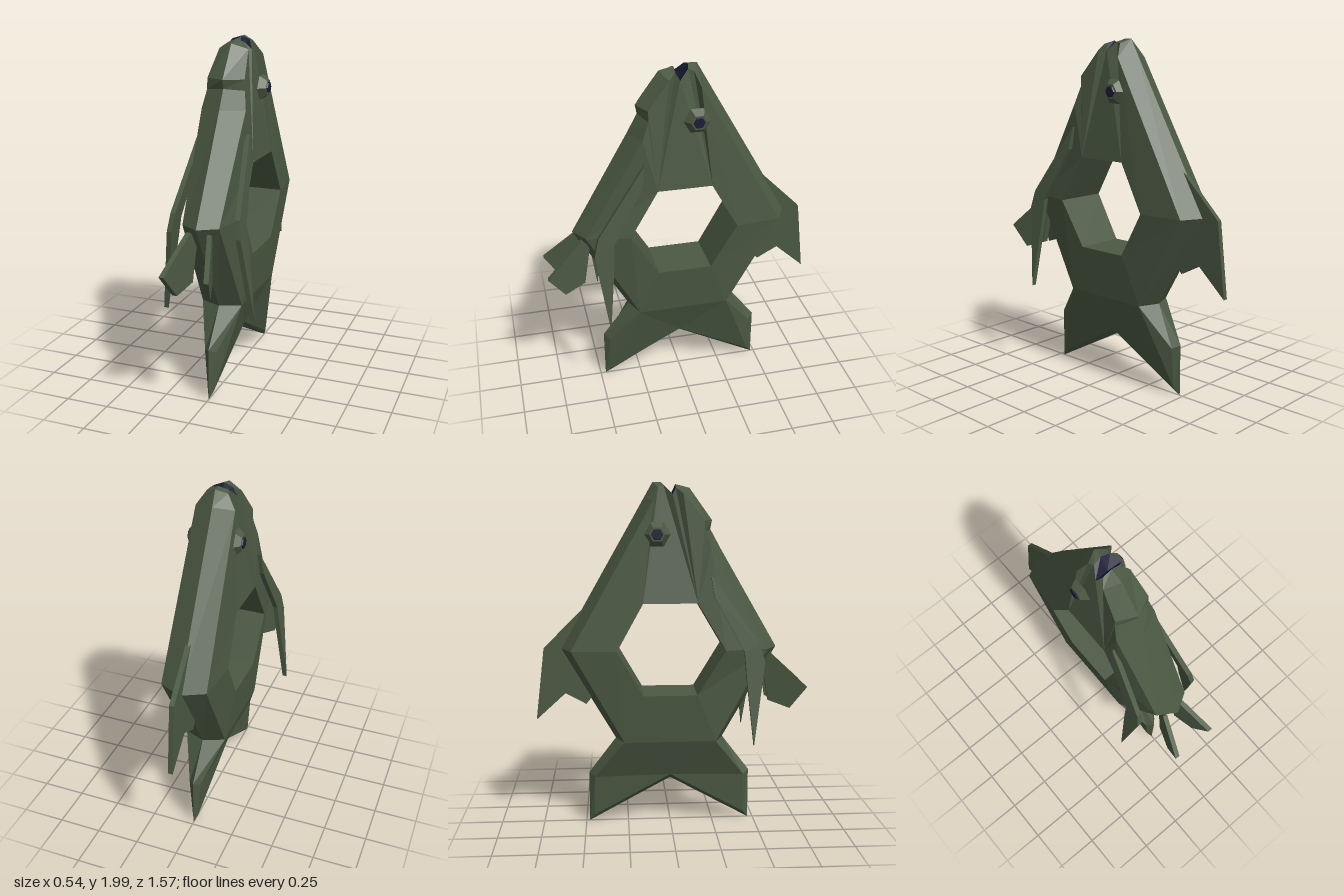
import * as THREE from 'three';

const skin = new THREE.MeshStandardMaterial({ color: 0x4b5943, flatShading: true });
skin.name = 'dark green skin';
const navy = new THREE.MeshStandardMaterial({ color: 0x1c1c38, flatShading: true });
navy.name = 'dark navy';

// Collects flat quads and triangles; "both" adds the mirrored face too
function faceBuilder() {
  const pos = [];
  const tri = (a, b, c) => pos.push(...a, ...b, ...c);
  const quad = (a, b, c, d) => { tri(a, b, c); tri(a, c, d); };
  const flip = ([x, y, z]) => [-x, y, z];
  return {
    quad,
    both(a, b, c, d = a) {
      const add = d === a ? tri : quad;
      add(a, b, c, d);
      const m = [a, b, c, d].map(flip);
      if (d === a) tri(m[2], m[1], m[0]);
      else quad(m[3], m[2], m[1], m[0]);
    },
    mesh(name, material) {
      const g = new THREE.BufferGeometry();
      g.setAttribute('position', new THREE.Float32BufferAttribute(pos, 3));
      g.computeVertexNormals();
      const m = new THREE.Mesh(g, material);
      m.name = name;
      return m;
    },
  };
}

// Thin plate from a [z, y] outline, bent sideways by offset(y, z)
function plate(name, outline, thickness, offset = () => 0) {
  const shape = new THREE.Shape(outline.map(([z, y]) => new THREE.Vector2(-z, y)));
  const g = new THREE.ExtrudeGeometry(shape, { depth: thickness, bevelEnabled: false });
  g.translate(0, 0, -thickness / 2).rotateY(Math.PI / 2);
  const p = g.attributes.position;
  for (let i = 0; i < p.count; i++) p.setX(i, p.getX(i) + offset(p.getY(i), p.getZ(i)));
  g.computeVertexNormals();
  const m = new THREE.Mesh(g, skin);
  m.name = name;
  return m;
}

// Station: ridge [z, y] on the centre line, shoulder [x, z, y] on the side
const ridge = (s) => [0, s[1], s[0]];
const shoulder = (s) => [s[2], s[4], s[3]];

function addBody(group) {
  const hole = [[-0.16, 1.33], [-0.31, 1.06], [-0.16, 0.8], [0.15, 0.8], [0.31, 1.06], [0.15, 1.33]]
    .map(([z, y], i) => [i % 3 === 1 ? 0.155 : 0.145, y, z]);
  // Around the outline from the upper lip, down the back and up the belly
  const stations = [
    [-0.05, 2.0, 0.05, -0.04, 1.985, 0],
    [-0.1, 2.0, 0.06, -0.07, 1.975, 0],
    [-0.145, 1.92, 0.11, -0.1, 1.9, 0],
    [-0.635, 1.06, 0.13, -0.57, 1.06, 1],
    [-0.32, 0.52, 0.12, -0.27, 0.52, 2],
    [0.31, 0.52, 0.12, 0.26, 0.52, 3],
    [0.62, 1.06, 0.105, 0.555, 1.06, 4],
    [0.29, 1.63, 0.128, 0.225, 1.63, 5],
    [0.23, 1.74, 0.11, 0.19, 1.73, 5],
    [0.24, 1.79, 0.108, 0.19, 1.79, 5],
    [0.11, 1.97, 0.085, 0.07, 1.94, 5],
    [0.03, 1.99, 0.05, 0.03, 1.97, 5],
    [0.0, 1.92, 0.082, 0.01, 1.935, 5],
  ];
  const body = faceBuilder();
  const mouth = faceBuilder();
  stations.forEach((s, i) => {
    const t = stations[(i + 1) % stations.length];
    const rim = i >= stations.length - 2 ? mouth : body;
    rim.both(ridge(s), shoulder(s), shoulder(t), ridge(t));
    body.both(shoulder(s), hole[s[5]], hole[t[5]], shoulder(t));
  });
  // Wall of the six-sided opening
  hole.forEach((a, i) => {
    const b = hole[(i + 1) % 6];
    body.quad(a, [-a[0], a[1], a[2]], [-b[0], b[1], b[2]], b);
  });
  group.add(body.mesh('body', skin), mouth.mesh('mouth', navy));
}

function addTail(group) {
  const st = [
    [-0.32, 0.52, 0.12, -0.27, 0.52],
    [-0.48, 0.31, 0.035, -0.445, 0.29],
    [-0.48, 0.01, 0.018, -0.45, 0.05],
    [0, 0.27, 0.04, 0, 0.3],
    [0.47, 0.01, 0.018, 0.44, 0.05],
    [0.47, 0.31, 0.035, 0.435, 0.29],
    [0.31, 0.52, 0.12, 0.26, 0.52],
  ];
  const tail = faceBuilder();
  for (let i = 0; i < 6; i++) {
    tail.both(ridge(st[i]), shoulder(st[i]), shoulder(st[i + 1]), ridge(st[i + 1]));
  }
  const s = st.map(shoulder);
  tail.both(s[0], s[6], s[3]);
  tail.both(s[0], s[3], s[2], s[1]);
  tail.both(s[6], s[5], s[4], s[3]);
  group.add(tail.mesh('tail', skin));
}

function addEye(group, side, label) {
  const eye = new THREE.Group();
  eye.name = label + 'Eye';
  const disc = (name, top, bottom, h, x, material) => {
    const g = new THREE.CylinderGeometry(top, bottom, h, 6);
    g.rotateZ(-Math.PI / 2 * side).translate(x * side, 0, 0);
    const m = new THREE.Mesh(g, material);
    m.name = name;
    eye.add(m);
  };
  disc('eyelid', 0.045, 0.078, 0.04, 0.13, skin);
  disc('pupil', 0.03, 0.034, 0.008, 0.153, navy);
  eye.position.set(0, 1.715, -0.08);
  group.add(eye);
}

export function createModel() {
  const fish = new THREE.Group();
  fish.name = 'fish';
  addBody(fish);
  addTail(fish);

  // Fin on the back
  fish.add(plate('dorsalFin', [[-0.48, 1.31], [-0.51, 1.28], [-0.73, 1.06], [-0.78, 0.64],
    [-0.61, 0.795], [-0.49, 0.73], [-0.44, 0.79], [-0.58, 1.06]], 0.028));

  // Paired fins and eyes
  for (const [side, label] of [[1, 'left'], [-1, 'right']]) {
    fish.add(plate(label + 'PectoralFin', [[0.22, 1.5], [0.24, 1.37], [0.41, 1.06], [0.42, 0.92],
      [0.46, 0.53], [0.525, 1.0], [0.5, 1.1]], 0.028, (y) => side * (0.142 + (1.45 - y) * 0.125)));
    fish.add(plate(label + 'PelvicFin', [[0.58, 1.03], [0.785, 0.84], [0.69, 0.71], [0.57, 0.75],
      [0.53, 0.98]], 0.028, (y, z) => side * (0.06 + (z - 0.58) * 0.32)));
    addEye(fish, side, label);
  }
  return fish;
}
